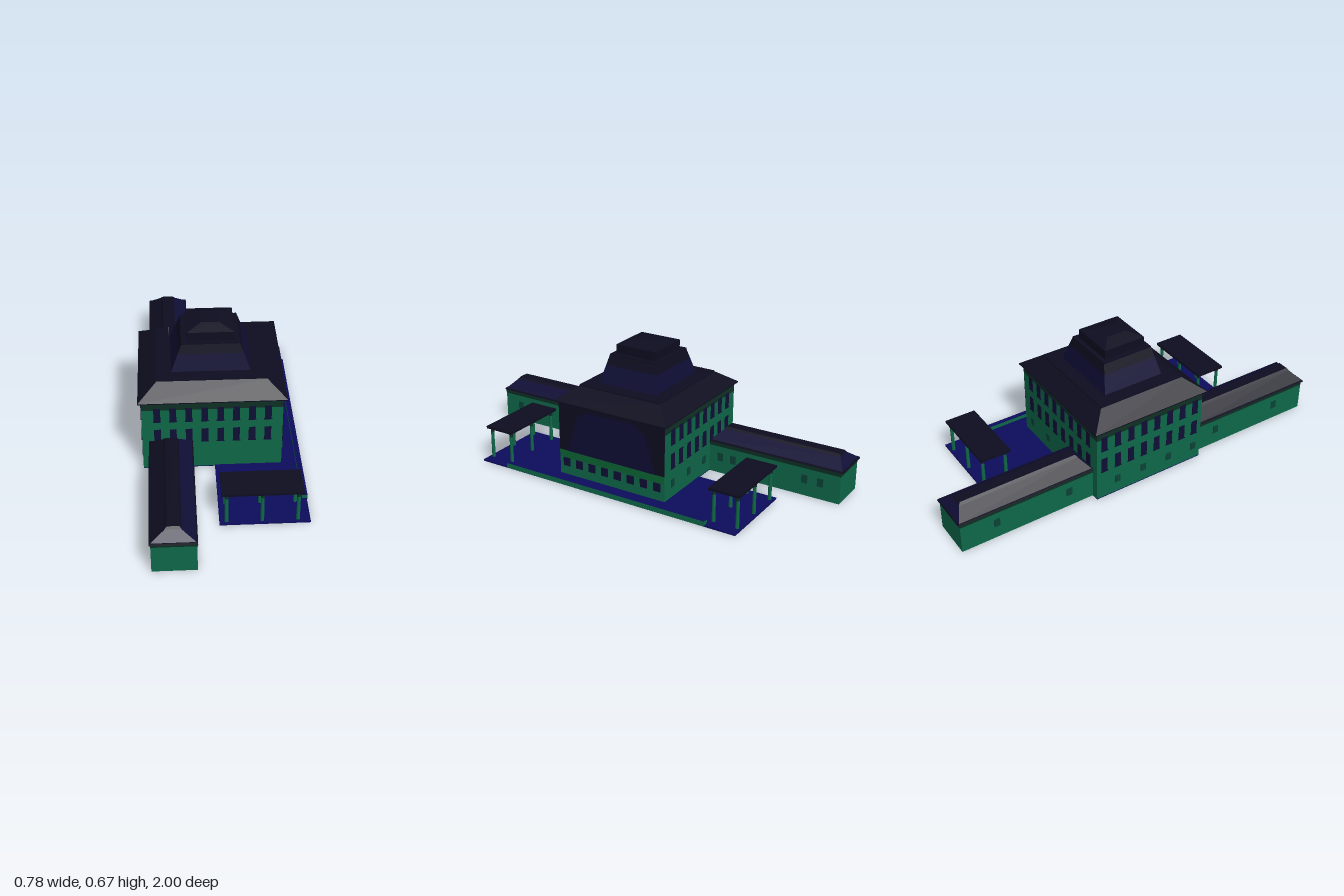
import * as THREE from 'three';

const mat = (name, color) => {
  const m = new THREE.MeshStandardMaterial({ color });
  m.name = name;
  return m;
};

export function createModel() {
  const wall = mat('green wall', 0x0e6849);
  const frieze = mat('dark green frieze', 0x0f3024);
  const grass = mat('leaf green band', 0x0b6434);
  const shade = mat('dim green window', 0x0c4238);
  const slate = mat('black slate', 0x0d0d20);
  const navy = mat('navy glass and slate', 0x0f0e36);
  const paving = mat('blue paving', 0x0c0c5c);

  const model = new THREE.Group();
  model.name = 'mansion';

  const add = (name, geo, material, parent = model) => {
    const m = new THREE.Mesh(geo, material);
    m.name = name;
    parent.add(m);
    return m;
  };

  // Box given by its limits
  const box = (name, x0, x1, y0, y1, z0, z1, material, parent) => {
    const m = add(name, new THREE.BoxGeometry(x1 - x0, y1 - y0, z1 - z0), material, parent);
    m.position.set((x0 + x1) / 2, (y0 + y1) / 2, (z0 + z1) / 2);
    return m;
  };

  // Stacked rectangles [y, x0, x1, z0, z1] joined by flat faces;
  // material groups: 0 front, 1 right (+x), 2 back, 3 left (-x), 4 caps
  const loft = (rings) => {
    const pos = [];
    const geo = new THREE.BufferGeometry();
    const corners = rings.map(([y, x0, x1, z0, z1]) =>
      [[x0, y, z1], [x1, y, z1], [x1, y, z0], [x0, y, z0]]);
    const quad = (a, b, c, d) => pos.push(...a, ...b, ...c, ...a, ...c, ...d);
    for (let s = 0; s < 4; s++) {
      const start = pos.length / 3, t = (s + 1) % 4;
      for (let i = 0; i + 1 < rings.length; i++) {
        quad(corners[i][s], corners[i][t], corners[i + 1][t], corners[i + 1][s]);
      }
      geo.addGroup(start, pos.length / 3 - start, s);
    }
    const start = pos.length / 3;
    quad(...corners[rings.length - 1]);
    quad(...[...corners[0]].reverse());
    geo.addGroup(start, 12, 4);
    geo.setAttribute('position', new THREE.Float32BufferAttribute(pos, 3));
    geo.computeVertexNormals();
    return geo;
  };

  // Terrace and ground plate
  box('terrace', -0.03, 0.385, 0, 0.008, -0.72, 0.72, paving);
  box('groundPlate', -0.375, 0.292, 0, 0.004, -0.3, 0.3, paving);
  box('terraceParapet', 0.363, 0.388, 0.002, 0.028, -0.565, 0.565,
    [wall, wall, paving, wall, wall, wall]);

  // Main block
  const house = new THREE.Group();
  house.name = 'mainBlock';
  model.add(house);
  box('mainWalls', -0.375, 0.292, 0.004, 0.345, -0.3, 0.3, wall, house);
  box('mainFrieze', -0.375, 0.292, 0.345, 0.392, -0.3, 0.3, frieze, house);

  // Stepped roof: eaves, mansard, lantern
  add('lowerRoof', loft([
    [0.39, -0.39, 0.31, -0.315, 0.315],
    [0.395, -0.39, 0.31, -0.315, 0.315],
    [0.459, -0.3, 0.22, -0.228, 0.228],
    [0.464, -0.3, 0.22, -0.228, 0.228],
  ]), Array(5).fill(slate), house);
  add('mansardLower', loft([
    [0.463, -0.23, 0.147, -0.16, 0.16],
    [0.55, -0.197, 0.114, -0.142, 0.142],
  ]), Array(5).fill(navy), house);
  add('mansardUpper', loft([
    [0.55, -0.197, 0.114, -0.142, 0.142],
    [0.597, -0.179, 0.096, -0.132, 0.132],
    [0.602, -0.179, 0.096, -0.132, 0.132],
  ]), Array(5).fill(slate), house);
  add('lantern', loft([
    [0.6, -0.153, 0.072, -0.11, 0.11],
    [0.647, -0.153, 0.072, -0.11, 0.11],
    [0.667, -0.083, 0.002, -0.05, 0.05],
  ]), Array(5).fill(slate), house);
  const rod = add('roofRod', new THREE.CylinderGeometry(0.0015, 0.0015, 0.045, 6), slate, house);
  rod.position.set(-0.235, 0.478, -0.175);
  rod.rotation.x = -0.8;

  // Window plate on a face across z (along = x) or across x (along = z)
  const windowOn = (axis, face, along, y0, y1, w, material, sill, parent) => {
    const plate = (name, a, b, half, t) => axis === 'z'
      ? box(name, along - half, along + half, a, b, face - t, face + t, material, parent)
      : box(name, face - t, face + t, a, b, along - half, along + half, material, parent);
    plate('window', y0, y1, w / 2, 0.003);
    if (sill) plate('windowSill', y0, y0 + 0.004, w / 2 + 0.003, 0.0045);
  };

  for (let i = 0; i < 8; i++) {
    const x = -0.302 + i * 0.0748;
    const z = -0.259 + i * 0.074;
    for (const [y0, y1] of [[0.277, 0.355], [0.155, 0.232]]) {
      windowOn('z', 0.3, x, y0, y1, 0.032, navy, true, house);
      windowOn('z', -0.3, x, y0, y1, 0.032, navy, true, house);
      windowOn('x', -0.375, z, y0, y1, 0.032, navy, true, house);
    }
    windowOn('x', 0.294, z, 0.055, 0.097, 0.038, navy, false, house);
    if (i % 2) {
      windowOn('z', -0.3, x, 0.06, 0.1, 0.03, shade, false, house);
      windowOn('x', -0.375, z, 0.06, 0.1, 0.03, shade, false, house);
    }
  }

  // Dark terrace facade with a tapering glazed field
  box('facadeBand', 0.291, 0.295, 0.1, 0.138, -0.299, 0.299, grass, house);
  box('facadePanel', 0.291, 0.295, 0.138, 0.39, -0.299, 0.299, slate, house);
  const field = new THREE.Shape([
    new THREE.Vector2(-0.25, 0.138), new THREE.Vector2(0.25, 0.138),
    new THREE.Vector2(0.19, 0.33), new THREE.Vector2(0.13, 0.365),
    new THREE.Vector2(-0.13, 0.365), new THREE.Vector2(-0.19, 0.33),
  ]);
  const glazing = add('facadeGlazing', new THREE.ShapeGeometry(field), navy, house);
  glazing.rotation.y = Math.PI / 2;
  glazing.position.x = 0.297;

  // Long wings and porticos, one at each end
  for (const s of [1, -1]) {
    const wing = new THREE.Group();
    wing.name = s > 0 ? 'frontWing' : 'backWing';
    model.add(wing);
    const span = (a, b) => (s > 0 ? [a, b] : [-b, -a]);
    box('wingWalls', -0.338, -0.138, 0, 0.141, ...span(0.3, 0.99), wall, wing);
    box('wingFrieze', -0.339, -0.137, 0.141, 0.162, ...span(0.3, 0.991), frieze, wing);
    add('wingEaves', loft([
      [0.16, -0.345, -0.135, ...span(0.3, 1)],
      [0.168, -0.342, -0.138, ...span(0.303, 0.997)],
    ]), Array(5).fill(slate), wing);
    add('wingRoof', loft([
      [0.168, -0.338, -0.142, ...span(0.306, 0.993)],
      [0.21, -0.275, -0.205, ...span(0.345, 0.955)],
    ]), [navy, navy, navy, slate, slate], wing);
    add('wingRidge', loft([
      [0.21, -0.277, -0.203, ...span(0.343, 0.957)],
      [0.221, -0.266, -0.212, ...span(0.352, 0.948)],
    ]), Array(5).fill(slate), wing);
    for (const z of [0.36, 0.43, 0.81, 0.89]) {
      windowOn('x', -0.138, s * z, 0.065, 0.107, 0.03, shade, false, wing);
    }
    for (const z of [0.43, 0.81]) {
      windowOn('x', -0.338, s * z, 0.065, 0.107, 0.03, shade, false, wing);
    }

    const portico = new THREE.Group();
    portico.name = s > 0 ? 'frontPortico' : 'backPortico';
    model.add(portico);
    box('porticoRoof', -0.022, 0.35, 0.168, 0.18, ...span(0.56, 0.718), slate, portico);
    for (const x of [0.002, 0.165, 0.328]) {
      for (const z of [0.58, 0.7]) {
        const shaft = add('column', new THREE.CylinderGeometry(0.008, 0.009, 0.138, 12), wall, portico);
        shaft.position.set(x, 0.077, s * z);
        const cap = add('columnCap', new THREE.CylinderGeometry(0.009, 0.009, 0.024, 12), frieze, portico);
        cap.position.set(x, 0.157, s * z);
      }
    }
  }
  return model;
}
